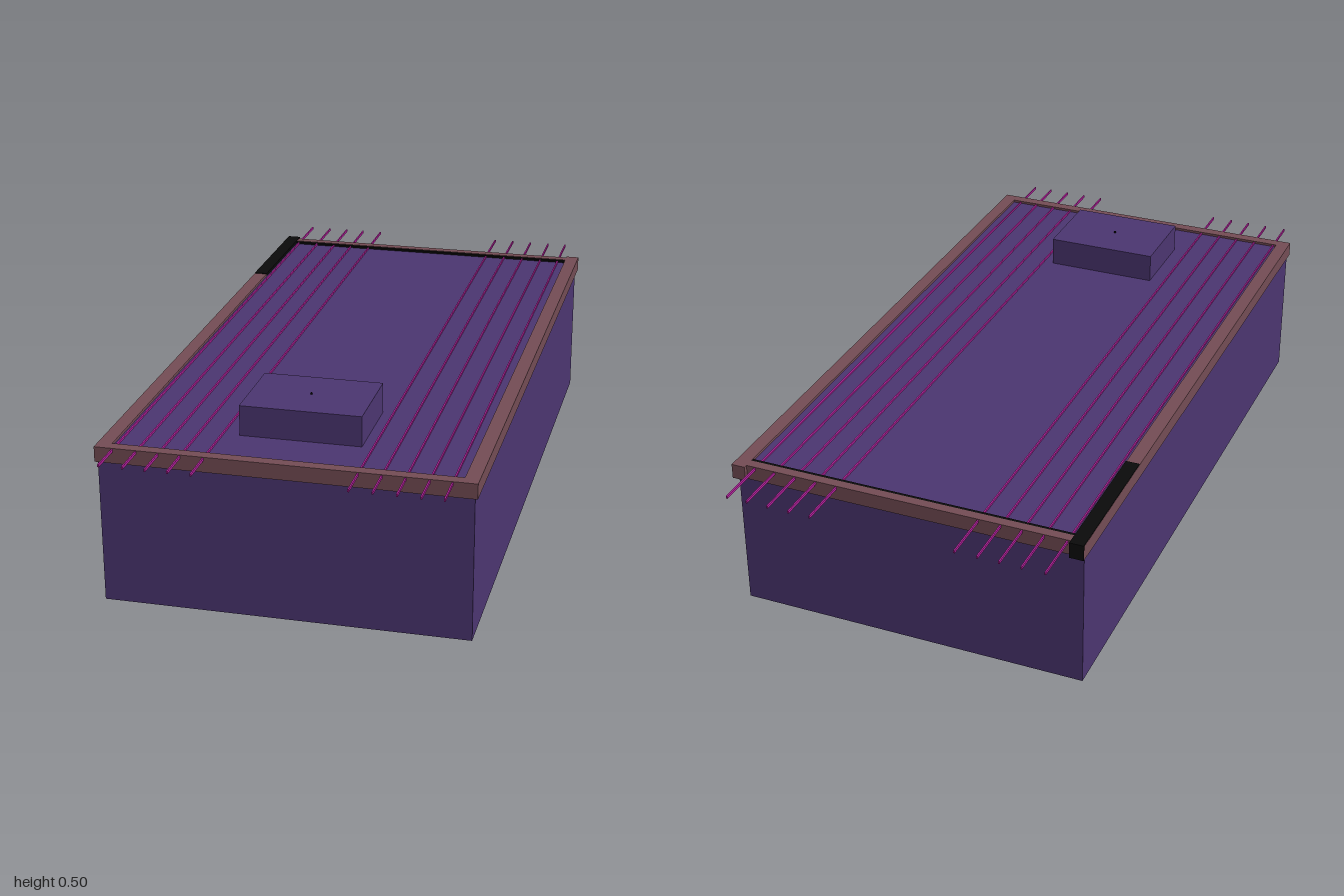
import * as THREE from 'three';

const material = (name, color, extra = {}) => {
  const m = new THREE.MeshStandardMaterial({ color, ...extra });
  m.name = name;
  return m;
};

export function createModel() {
  const purple = material('purple panel', 0x4b3570, { side: THREE.DoubleSide });
  const brown = material('brown trim', 0x734c54);
  const black = material('black fittings', 0x0a0a0a);
  const magenta = material('magenta string', 0xb0209a);
  const model = new THREE.Group();
  model.name = 'stringedBox';

  const add = (name, geometry, mat, x = 0, y = 0, z = 0) => {
    const mesh = new THREE.Mesh(geometry, mat);
    mesh.name = name;
    mesh.position.set(x, y, z);
    model.add(mesh);
    return mesh;
  };
  // Box given by its limits on each axis
  const block = (name, mat, x0, x1, y0, y1, z0, z1) =>
    add(name, new THREE.BoxGeometry(x1 - x0, y1 - y0, z1 - z0), mat,
      (x0 + x1) / 2, (y0 + y1) / 2, (z0 + z1) / 2);

  // Body walls, open underneath
  const t = 0.004;
  for (const s of [-1, 1]) {
    const x = s * (0.47 - t / 2);
    block('sideWall', purple, x - t / 2, x + t / 2, 0, 0.382, -0.85, 0.9);
  }
  block('frontWall', purple, -0.47, 0.47, 0, 0.382, 0.9 - t, 0.9);
  block('backWall', purple, -0.47, 0.47, 0, 0.382, -0.85, -0.85 + t);

  // Rim around the top
  block('leftRim', brown, 0.44, 0.477, 0.38, 0.42, -0.87, 0.905);
  block('rightRim', brown, -0.477, -0.44, 0.38, 0.42, -0.87, 0.905);
  block('frontRim', brown, -0.44, 0.44, 0.38, 0.42, 0.875, 0.905);
  block('backRim', brown, -0.44, 0.44, 0.38, 0.42, -0.86, -0.835);

  // Black fittings at the back
  block('cornerCover', black, -0.4765, -0.439, 0.379, 0.422, -0.872, -0.48);
  block('backStrip', black, -0.44, 0.44, 0.408, 0.4185, -0.837, -0.825);

  // Top panel with an opening beneath the raised housing
  const rect = (Type, x0, x1, z0, z1) => new Type([
    new THREE.Vector2(x0, z0), new THREE.Vector2(x1, z0),
    new THREE.Vector2(x1, z1), new THREE.Vector2(x0, z1),
  ]);
  const panel = rect(THREE.Shape, -0.44, 0.44, -0.84, 0.88);
  panel.holes.push(rect(THREE.Path, -0.15, 0.153, 0.515, 0.735));
  add('topPanel', new THREE.ShapeGeometry(panel).rotateX(Math.PI / 2), purple, 0, 0.413, 0);

  // Raised housing, open below
  block('housingFront', purple, -0.155, 0.158, 0.41, 0.492, 0.736, 0.74);
  block('housingBack', purple, -0.155, 0.158, 0.41, 0.492, 0.51, 0.514);
  block('housingRight', purple, -0.155, -0.151, 0.41, 0.492, 0.514, 0.736);
  block('housingLeft', purple, 0.154, 0.158, 0.41, 0.492, 0.514, 0.736);
  block('housingTop', purple, -0.155, 0.158, 0.489, 0.493, 0.51, 0.74);

  // Ball hanging inside the housing on a thin rod
  add('ball', new THREE.SphereGeometry(0.058, 24, 16), brown, 0, 0.36, 0.63);
  add('ballRod', new THREE.CylinderGeometry(0.003, 0.003, 0.1, 8), black, 0, 0.447, 0.625);
  block('ballFoot', black, -0.03, 0, 0.315, 0.345, 0.57, 0.6);

  // Two banks of long strings
  const strings = [-0.43, -0.37, -0.313, -0.257, -0.198, 0.187, 0.245, 0.303, 0.361, 0.416];
  for (const x of strings) block('string', magenta, x - 0.002, x + 0.002, 0.411, 0.418, -1, 1);

  return model;
}
